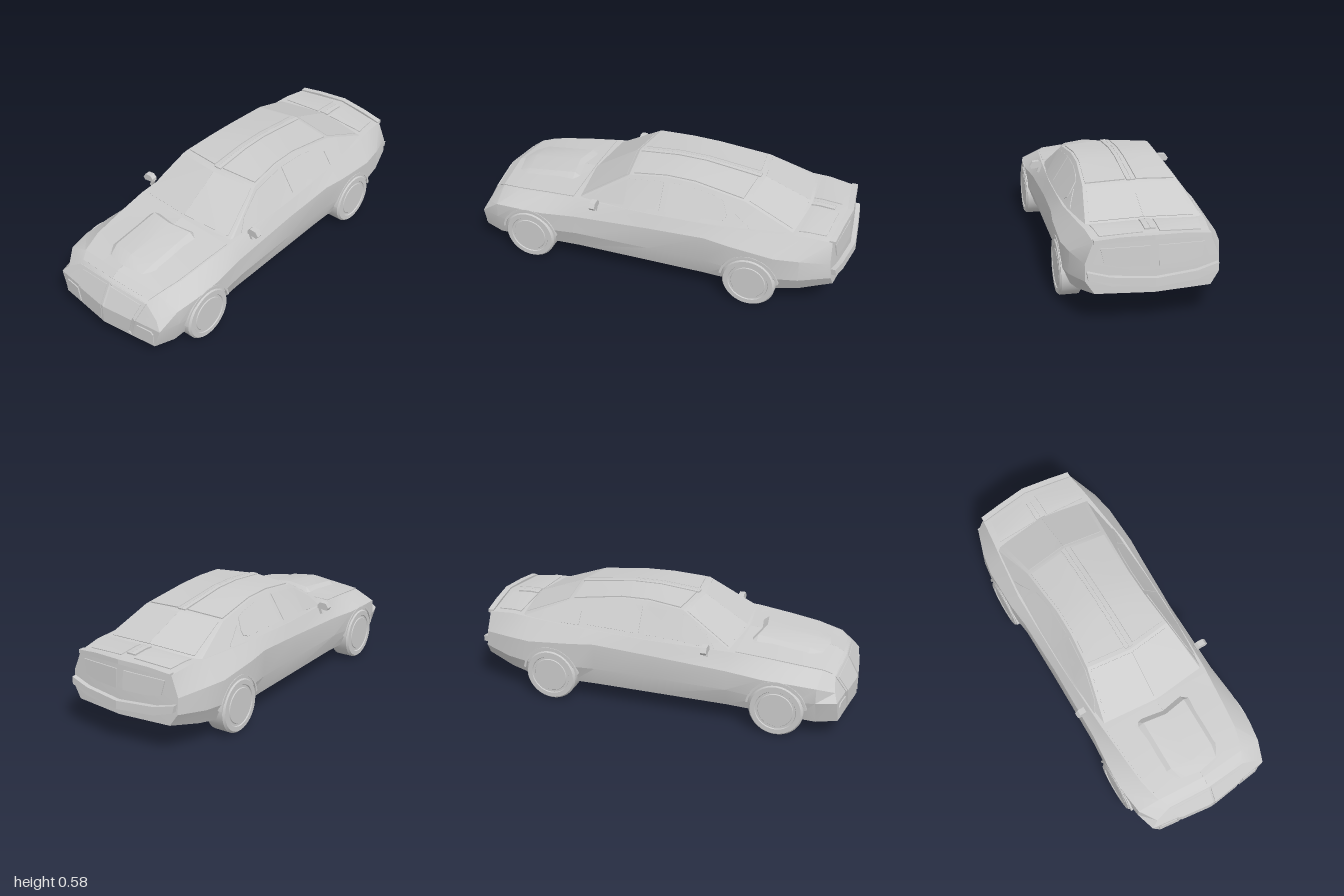
import * as THREE from 'three';
import { toCreasedNormals } from 'three/addons/utils/BufferGeometryUtils.js';

const grey = new THREE.MeshStandardMaterial({ color: 0xcccccc, side: THREE.DoubleSide });

// Body sections: z, floor y, floor x, low crease x y, high crease x y, top edge x y, centre y
const BODY = [
  [0.994, .09, .30, .335, .20, .30, .24, .22, .29, .31],
  [0.88, .085, .335, .365, .20, .36, .275, .25, .322, .342],
  [0.75, .09, .34, .376, .19, .376, .287, .28, .345, .368],
  [0.58, .10, .34, .376, .19, .376, .29, .295, .365, .385],
  [0.40, .10, .33, .365, .20, .36, .30, .31, .383, .393],
  [0.00, .10, .33, .36, .20, .355, .32, .325, .39, .40],
  [-0.30, .10, .33, .36, .20, .365, .34, .325, .40, .40],
  [-0.43, .10, .335, .376, .20, .376, .33, .325, .405, .40],
  [-0.66, .10, .335, .376, .19, .376, .31, .30, .41, .42],
  [-0.80, .125, .32, .36, .20, .355, .31, .285, .415, .43],
  [-0.975, .16, .27, .31, .22, .31, .30, .27, .40, .42]];

// Cabin sections: z, base x y, rail x y, centre y, centre shift in z
const CABIN = [
  [0.40, .30, .37, .29, .38, .39, .025],
  [0.14, .32, .385, .235, .54, .55, .03],
  [-0.05, .322, .39, .217, .556, .570, 0],
  [-0.20, .322, .395, .215, .552, .568, 0],
  [-0.47, .315, .40, .235, .515, .532, -.025],
  [-0.73, .29, .405, .27, .412, .43, -.03]];

// Both ends are V shaped in plan and lean back above the bumper
function endZ(z, x, y) {
  const s = Math.sign(z), f = Math.max(0, (Math.abs(z) - .7) / .3);
  const lean = Math.abs(z) > .95 ? (s > 0 ? .55 : .1) * Math.max(0, y - .2) : 0;
  return z - s * (f * .13 * Math.abs(x) + lean);
}
const V = (x, y, z) => new THREE.Vector3(x, y, z);
const bodyHalf = BODY.map(([z, yb, xb, x1, y1, x2, y2, x3, y3, yc]) =>
  [[0, yb], [xb, yb], [x1, y1], [x2, y2], [x3, y3], [0, yc]].map(([x, y]) => V(x, y, endZ(z, x, y))));
const cabinHalf = CABIN.map(([z, xb, yb, xr, yr, yc, dz]) => [V(xb, yb, z), V(xr, yr, z), V(0, yc, z + dz)]);
const bodyGrid = { zs: BODY.map(r => r[0]), rows: bodyHalf };
const cabinGrid = { zs: CABIN.map(r => r[0]), rows: cabinHalf };

function add(parent, name, geometry, crease = .3) {
  const mesh = new THREE.Mesh(toCreasedNormals(geometry, crease), grey);
  mesh.name = name;
  parent.add(mesh);
  return mesh;
}

// Skin over rows of points running front to back; side -1 mirrors in x
function loft(rows, closed, side = 1) {
  const n = rows[0].length, index = [];
  for (let i = 0; i < rows.length - 1; i++)
    for (let j = 0; j < (closed ? n : n - 1); j++) {
      const a = i * n + j, b = i * n + (j + 1) % n, c = b + n, d = a + n;
      index.push(...(side > 0 ? [a, d, c, a, c, b] : [a, c, d, a, b, c]));
    }
  const g = new THREE.BufferGeometry();
  g.setAttribute('position', new THREE.Float32BufferAttribute(rows.flat().flatMap(p => [p.x * side, p.y, p.z]), 3));
  g.setIndex(index);
  g.computeVertexNormals();
  return g;
}
const mirrored = pts => pts.reverse().map(p => V(-p.x, p.y, p.z));

// Point and outward normal on a half skin at station z and column v
function pointOn({ zs, rows }, z, v) {
  let i = 0;
  while (i < zs.length - 2 && z < zs[i + 1]) i++;
  const t = (zs[i] - z) / (zs[i] - zs[i + 1]);
  const j = Math.min(Math.floor(v), rows[0].length - 2);
  const a = rows[i][j].clone().lerp(rows[i][j + 1], v - j);
  return a.lerp(rows[i + 1][j].clone().lerp(rows[i + 1][j + 1], v - j), t);
}
function normalOn(grid, z, v) {
  const e = .004, w = Math.min(v, grid.rows[0].length - 1 - e), p = pointOn(grid, z, w);
  return pointOn(grid, z - e, w).sub(p).cross(pointOn(grid, z, w + e).sub(p)).normalize();
}

// Thin raised panel following a skin; columns are [z, low v, high v], built on both sides
function panel(parent, name, grid, columns, h) {
  const cols = [columns[0]];
  for (let k = 1; k < columns.length; k++) {
    const [a, b] = [columns[k - 1], columns[k]];
    for (const z of grid.zs) if (z < a[0] - .001 && z > b[0] + .001) {
      const t = (a[0] - z) / (a[0] - b[0]);
      cols.push([z, a[1] + (b[1] - a[1]) * t, a[2] + (b[2] - a[2]) * t]);
    }
    cols.push(b);
  }
  const rows = cols.map(([z, lo, hi]) => {
    const p = pointOn(grid, z, lo), q = pointOn(grid, z, hi);
    return [p, p.clone().addScaledVector(normalOn(grid, z, lo), h),
      q.clone().addScaledVector(normalOn(grid, z, hi), h), q];
  });
  const flat = ([p, , , q]) => [p, p, q, q];
  const all = [flat(rows[0]), ...rows, flat(rows[rows.length - 1])];
  for (const s of [1, -1]) add(parent, name, loft(all, false, s));
}

// Plate following the nose or tail; the outline is given for the left half
function endPlate(parent, name, z0, outline, depth) {
  for (const s of [1, -1]) {
    const shape = new THREE.Shape(outline.map(([x, y]) => new THREE.Vector2(x * s, y)));
    const g = new THREE.ExtrudeGeometry(shape, { depth, bevelEnabled: false });
    const p = g.attributes.position;
    for (let i = 0; i < p.count; i++)
      p.setZ(i, p.getZ(i) - depth / 2 + endZ(z0, p.getX(i), p.getY(i)));
    g.computeVertexNormals();
    add(parent, name, g);
  }
}

export function createModel() {
  const car = new THREE.Group();
  car.name = 'car';

  // Lower body, closed at nose and tail by rows gathered on the centre line
  const rings = bodyHalf.map(h => [...h, ...mirrored(h.slice(1, -1))]);
  const gather = z0 => p => V(0, p.y, endZ(z0, 0, p.y));
  rings.unshift(rings[0].map(gather(BODY[0][0])));
  rings.push(rings[rings.length - 1].map(gather(BODY[BODY.length - 1][0])));
  add(car, 'body', loft(rings, true), .35);
  add(car, 'cabin', loft(cabinHalf.map(h => [...h, ...mirrored(h.slice(0, -1))]), false));

  // Glass
  panel(car, 'windshield', cabinGrid, [[.385, 1.06, 2], [.155, 1.06, 2]], .003);
  panel(car, 'rearWindow', cabinGrid, [[-.485, 1.08, 2], [-.715, 1.08, 2]], .003);
  panel(car, 'frontSideWindow', cabinGrid, [[.32, .12, .25], [.27, .12, .8], [.15, .12, .88], [-.045, .12, .88]], .004);
  panel(car, 'rearSideWindow', cabinGrid, [[-.075, .12, .88], [-.3, .14, .86], [-.36, .15, .8], [-.39, .25, .4]], .004);
  panel(car, 'quarterWindow', cabinGrid, [[-.40, .1, .62], [-.51, .1, .16]], .004);

  // Roof, hood and trunk panels
  panel(car, 'roofPanel', cabinGrid, [[.12, 1.06, 1.88], [-.455, 1.06, 1.88]], .006);
  panel(car, 'roofStrip', cabinGrid, [[.13, 1.91, 2], [-.465, 1.91, 2]], .007);
  panel(car, 'hood', bodyGrid, [[.96, 4.03, 5], [.43, 4.03, 5]], .004);
  panel(car, 'trunkPanel', bodyGrid, [[-.76, 4.12, 4.86], [-.92, 4.14, 4.86]], .005);
  panel(car, 'trunkStrip', bodyGrid, [[-.76, 4.91, 5], [-.89, 4.91, 5]], .008);

  // Hood scoop: z, outer x y, inner x y, centre y
  const scoop = [
    [.83, .11, .35, .10, .352, .36], [.765, .15, .353, .12, .375, .385],
    [.50, .16, .375, .12, .408, .415], [.47, .15, .375, .115, .385, .39]
  ].map(([z, xo, yo, xi, yi, yc]) => {
    const half = [V(xo, yo, z), V(xi, yi, z), V(0, yc, z + .02)];
    return [...half, ...mirrored(half.slice(0, -1))];
  });
  add(car, 'hoodScoop', loft(scoop, false));

  // Nose
  endPlate(car, 'grilleFrame', .994, [[0, .1], [.17, .1], [.193, .2], [.222, .289], [0, .309], [0, .2]], .008);
  endPlate(car, 'lowerGrille', .994, [[.012, .115], [.155, .118], [.176, .2], [.012, .2]], .014);
  endPlate(car, 'upperGrille', .994, [[.012, .2], [.176, .2], [.198, .277], [.012, .296]], .014);
  endPlate(car, 'fogLight', .994, [[.185, .105], [.298, .1], [.298, .165], [.285, .18], [.203, .18]], .012);

  // Tail
  endPlate(car, 'rearBumper', -.975, [[0, .195], [.2, .205], [.30, .235], [.305, .27], [.2, .245], [0, .235]], .048);
  endPlate(car, 'tailPanel', -.975, [[.02, .285], [.15, .285], [.225, .30], [.24, .37], [.02, .378]], .012);
  endPlate(car, 'trunkLip', -.975, [[0, .408], [.27, .392], [.27, .41], [.15, .424], [0, .43]], .03);

  for (const s of [1, -1]) {
    // Wheels with raised arch lips
    for (const z of [.66, -.54]) {
      const profile = [[0, -.055], [.12, -.055], [.137, -.045], [.137, .044], [.128, .055], [.104, .055],
        [.101, .05], [.09, .05], [.087, .054], [0, .054]].map(([r, a]) => new THREE.Vector2(r, a));
      const wheel = add(car, 'wheel', new THREE.LatheGeometry(profile, 36).rotateZ(-s * Math.PI / 2), .5);
      wheel.position.set(s * .328, .137, z);
      const arch = new THREE.Shape();
      arch.absarc(0, 0, .154, .15, Math.PI - .15, false);
      arch.absarc(0, 0, .143, Math.PI - .15, .15, true);
      const lip = new THREE.ExtrudeGeometry(arch, { depth: .03, bevelEnabled: false, curveSegments: 20 });
      add(car, 'wheelArch', lip.translate(0, 0, -.015).rotateY(Math.PI / 2), .5).position.set(s * .364, .137, z);
    }

    // Door mirrors
    const outline = [[.325, .387], [.38, .38], [.39, .395], [.375, .418], [.34, .421], [.325, .405]];
    const cap = new THREE.Shape(outline.map(([x, y]) => new THREE.Vector2(x * s, y)));
    add(car, 'mirror', new THREE.ExtrudeGeometry(cap, { depth: .03, bevelEnabled: false })).position.z = .275;
    add(car, 'mirrorStalk', new THREE.BoxGeometry(.014, .04, .018).rotateZ(s * .4)).position.set(s * .338, .375, .29);
  }
  return car;
}
